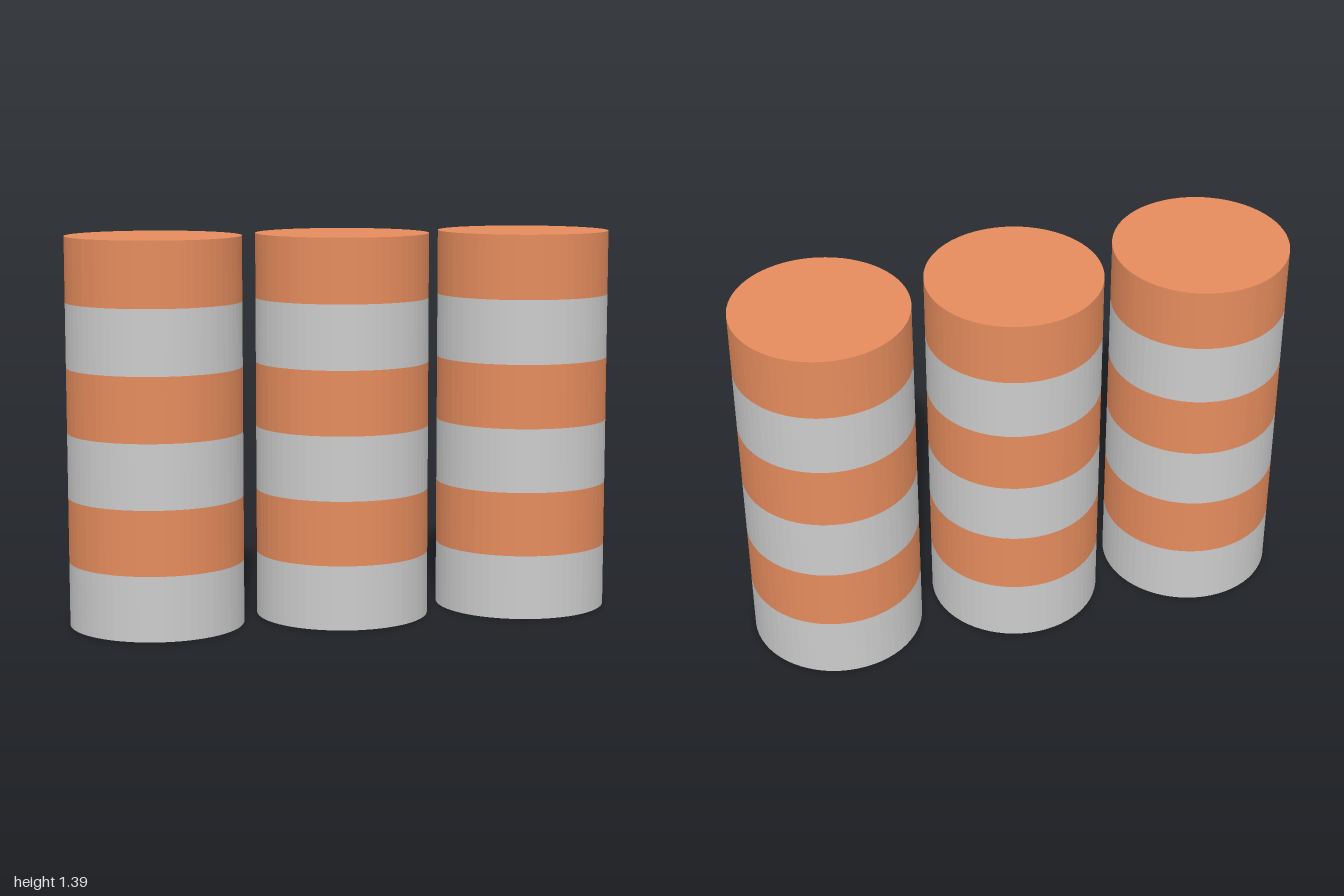
import * as THREE from 'three';

const RADIUS = 0.3125, SPACING = 0.6875, HEIGHT = 1.39, BANDS = 6, SIDES = 64;

export function createModel() {
  const model = new THREE.Group();
  model.name = 'stripedColumns';
  const grey = new THREE.MeshStandardMaterial({ color: 0xcccccc, flatShading: true });
  const orange = new THREE.MeshStandardMaterial({ color: 0xe58c5d, flatShading: true });
  const bandHeight = HEIGHT / BANDS;

  // One band as a turned profile; only the end bands get a closing disc
  const bandGeometry = (index) => {
    const profile = [new THREE.Vector2(RADIUS, 0), new THREE.Vector2(RADIUS, bandHeight)];
    if (index === 0) profile.unshift(new THREE.Vector2(0, 0));
    if (index === BANDS - 1) profile.push(new THREE.Vector2(0, bandHeight));
    return new THREE.LatheGeometry(profile, SIDES);
  };
  const geometries = Array.from({ length: BANDS }, (_, i) => bandGeometry(i));

  // Three columns in a row, each with alternating grey and orange bands
  ['rightColumn', 'middleColumn', 'leftColumn'].forEach((name, c) => {
    const column = new THREE.Group();
    column.name = name;
    column.position.x = (c - 1) * SPACING;
    geometries.forEach((geometry, i) => {
      const band = new THREE.Mesh(geometry, i % 2 ? orange : grey);
      band.name = i % 2 ? 'orangeBand' : 'greyBand';
      band.position.y = i * bandHeight;
      column.add(band);
    });
    model.add(column);
  });
  return model;
}
